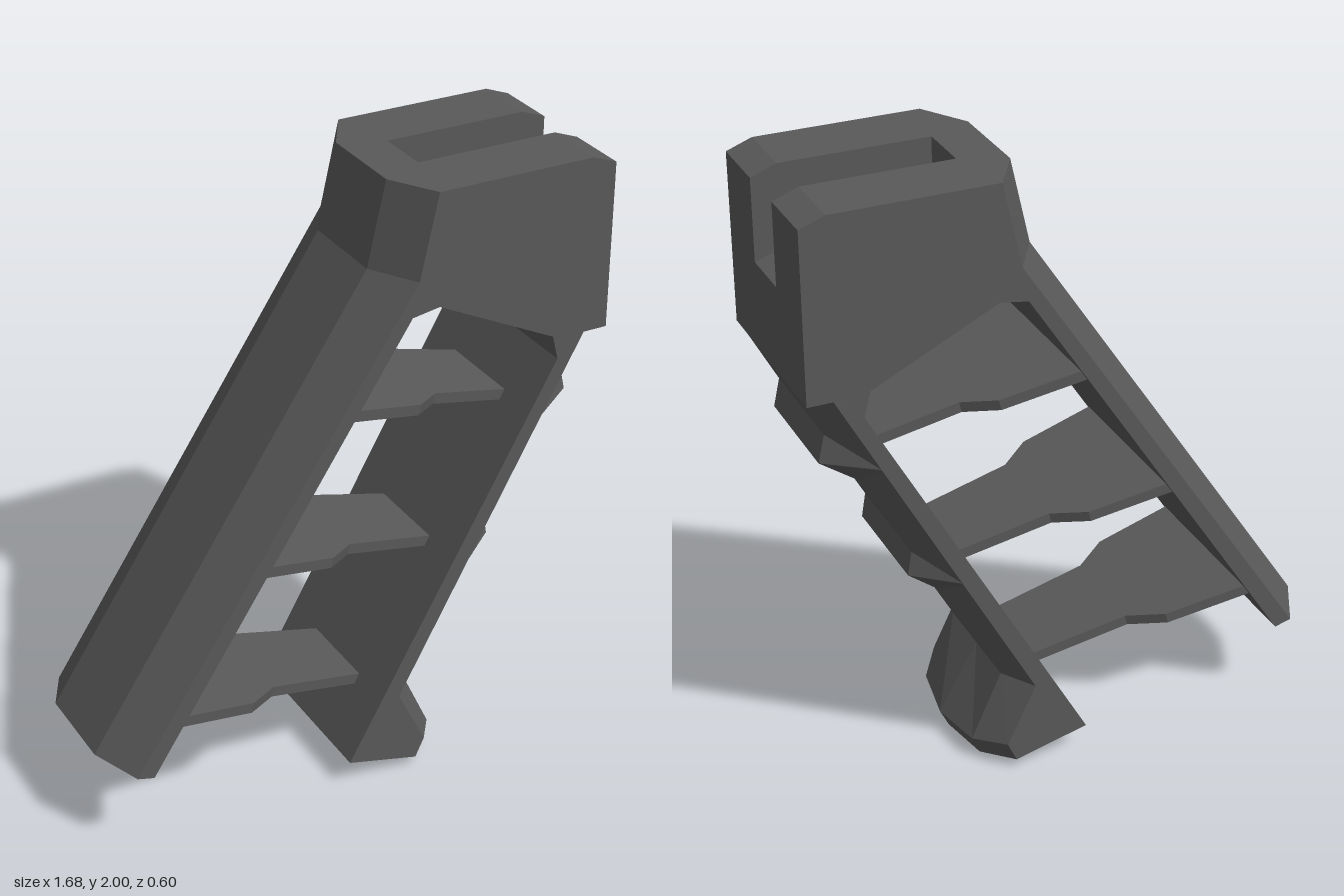
import * as THREE from 'three';

// Skin a list of [z, outline] sections (outlines counter-clockwise, z ascending) and cap both ends
function loft(sections) {
  const pos = [];
  const put = (s, i) => pos.push(s[1][i][0], s[1][i][1], s[0]);
  const n = sections[0][1].length;
  for (let k = 0; k < sections.length - 1; k++) {
    const s = sections[k], t = sections[k + 1];
    for (let i = 0; i < n; i++) {
      const j = (i + 1) % n;
      put(s, i); put(s, j); put(t, j);
      put(s, i); put(t, j); put(t, i);
    }
  }
  const cap = (s, flip) => {
    const tris = THREE.ShapeUtils.triangulateShape(s[1].map(p => new THREE.Vector2(p[0], p[1])), []);
    for (const f of tris) for (const i of flip ? [f[2], f[1], f[0]] : f) put(s, i);
  };
  cap(sections[0], true);
  cap(sections[sections.length - 1], false);
  const g = new THREE.BufferGeometry();
  g.setAttribute('position', new THREE.Float32BufferAttribute(pos, 3));
  g.computeVertexNormals();
  return g;
}

export function createModel() {
  const group = new THREE.Group();
  const polymer = new THREE.MeshStandardMaterial({ color: 0x595959, flatShading: true });
  polymer.name = 'darkGreyPolymer';
  const add = (geo, name) => {
    const m = new THREE.Mesh(geo, polymer);
    m.name = name;
    group.add(m);
    return m;
  };

  // Rear strap and head share one outline; the rear edge is chamfered towards the sides
  const inner = [[-0.71, 0.275], [0.16, 1.62], [0.25, 1.635], [0.65, 1.44], [0.67, 1.36], [0.76, 1.43], [0.84, 1.43]];
  const topFront = [[0.84, 1.97], [0.76, 2]];
  const slot = [[0.84, 1.71], [0.29, 1.9], [0.29, 2]];
  const core = [[-0.84, 0.31], ...inner, ...topFront, [0.15, 2], [0.09, 1.73]];
  const side = [[-0.765, 0.29], ...inner, ...topFront, [0.24, 2], [0.18, 1.73]];
  const slotted = [[-0.84, 0.31], ...inner, ...slot, [0.15, 2], [0.09, 1.73]];
  add(loft([[0.09, core], [0.15, core], [0.3, side]]), 'leftFrame');
  add(loft([[-0.3, side], [-0.15, core], [-0.09, core]]), 'rightFrame');
  add(loft([[-0.09, slotted], [0.09, slotted]]), 'slottedCentre');

  // Front strap: two finger ridges and a flared foot, tapering at the sides
  const back = [[0.67, 1.36], [-0.035, 0.09]];
  const ridges = [[0.412, 0.655], [0.51, 0.73], [0.497, 0.81], [0.655, 1.095], [0.775, 1.18], [0.755, 1.27], [0.84, 1.43]];
  const edge = y => [0.14 + (y - 0.29) * 0.544, y];
  const edges = [0.725, 0.73, 0.735, 1.175, 1.18, 1.185, 1.43].map(edge);
  const mid = [...back, [0.31, 0], [0.34, 0.06], [0.21, 0.29], ...ridges];
  const shoulder = [...back, [0.285, 0.012], [0.31, 0.07], [0.21, 0.29], ...ridges];
  const flank = [...back, [0.205, 0.03], [0.235, 0.095], edge(0.29), ...edges];
  add(loft([[-0.3, flank], [-0.19, shoulder], [0, mid], [0.19, shoulder], [0.3, flank]]), 'frontStrap');

  // Sloping cross plates, wide at the rear and stepped narrower at the front
  const plates = [[-0.03, 1.312, 0.6, 1.165], [-0.335, 0.86, 0.32, 0.712], [-0.635, 0.415, 0.08, 0.265]];
  for (const [x0, y0, x1, y1] of plates) {
    const len = Math.hypot(x1 - x0, y1 - y0);
    const plan = [[-0.04, 0.28], [0.4 * len, 0.24], [0.55 * len, 0.165], [len + 0.01, 0.145]];
    const outline = [...plan, ...plan.map(([u, w]) => [u, -w]).reverse()];
    const shape = new THREE.Shape(outline.map(p => new THREE.Vector2(p[0], p[1])));
    const geo = new THREE.ExtrudeGeometry(shape, { depth: 0.035, bevelEnabled: false });
    geo.rotateX(-Math.PI / 2);
    geo.rotateZ(Math.atan2(y1 - y0, x1 - x0));
    add(geo, 'crossPlate').position.set(x0, y0, 0);
  }
  return group;
}
